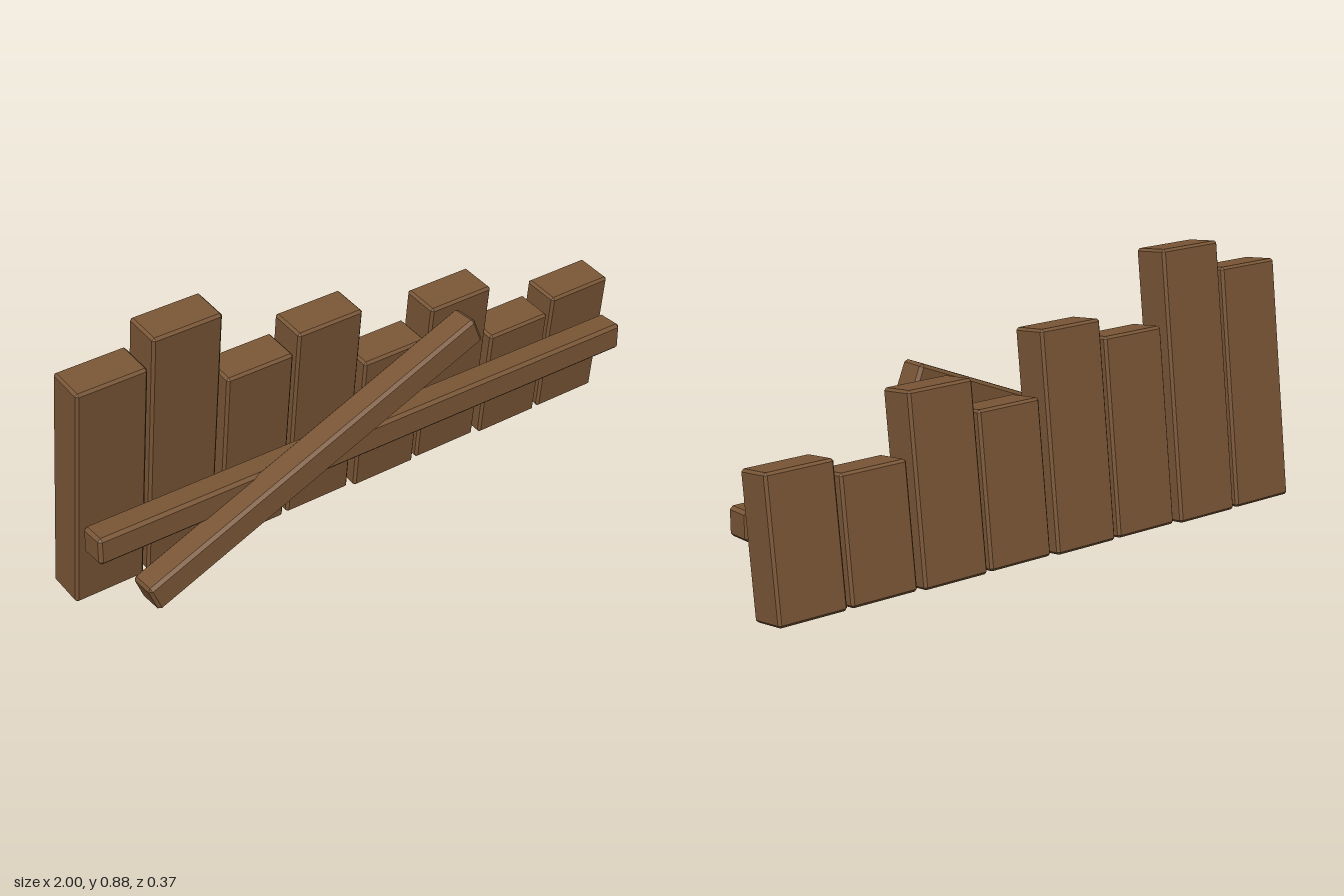
import * as THREE from 'three';
import { ConvexGeometry } from 'three/addons/geometries/ConvexGeometry.js';

// Box with every edge cut by a flat chamfer
function chamferBox(w, h, d, b) {
  const points = [];
  for (const sx of [-1, 1]) for (const sy of [-1, 1]) for (const sz of [-1, 1]) {
    const x = sx * w / 2, y = sy * h / 2, z = sz * d / 2;
    points.push(
      new THREE.Vector3(x, y - sy * b, z - sz * b),
      new THREE.Vector3(x - sx * b, y, z - sz * b),
      new THREE.Vector3(x - sx * b, y - sy * b, z));
  }
  return new ConvexGeometry(points);
}

export function createModel() {
  const wood = new THREE.MeshStandardMaterial({ color: 0x7a5636 });
  wood.name = 'brown wood';
  const group = new THREE.Group();
  group.name = 'plankFence';

  const add = (name, w, h, d, b, x, y, z) => {
    const mesh = new THREE.Mesh(chamferBox(w, h, d, b), wood);
    mesh.name = name;
    mesh.position.set(x, y, z);
    group.add(mesh);
    return mesh;
  };

  // Upright planks of uneven height, each leaning forward about its centre
  const lean = 0.12, thick = 0.126;
  const tops = [0.789, 0.878, 0.642, 0.702, 0.5, 0.6, 0.405, 0.454];
  tops.forEach((top, i) => {
    const height = (top - thick * Math.sin(lean)) / Math.cos(lean);
    const plank = add(`plank${i + 1}`, 0.235, height, thick, 0.008,
      -0.881 + i * 0.2515, top / 2 + 0.001, -0.07);
    plank.rotation.x = lean;
  });

  // Long cross rail, dipping slightly to one end
  const rail = add('crossRail', 1.982, 0.091, 0.091, 0.01, -0.008, 0.271, 0.061);
  rail.rotation.z = -0.007;

  // Slanted brace nailed over the rail
  const brace = add('diagonalBrace', 1.283, 0.094, 0.093, 0.01, -0.278, 0.333, 0.136);
  brace.rotation.z = 0.38;

  return group;
}
